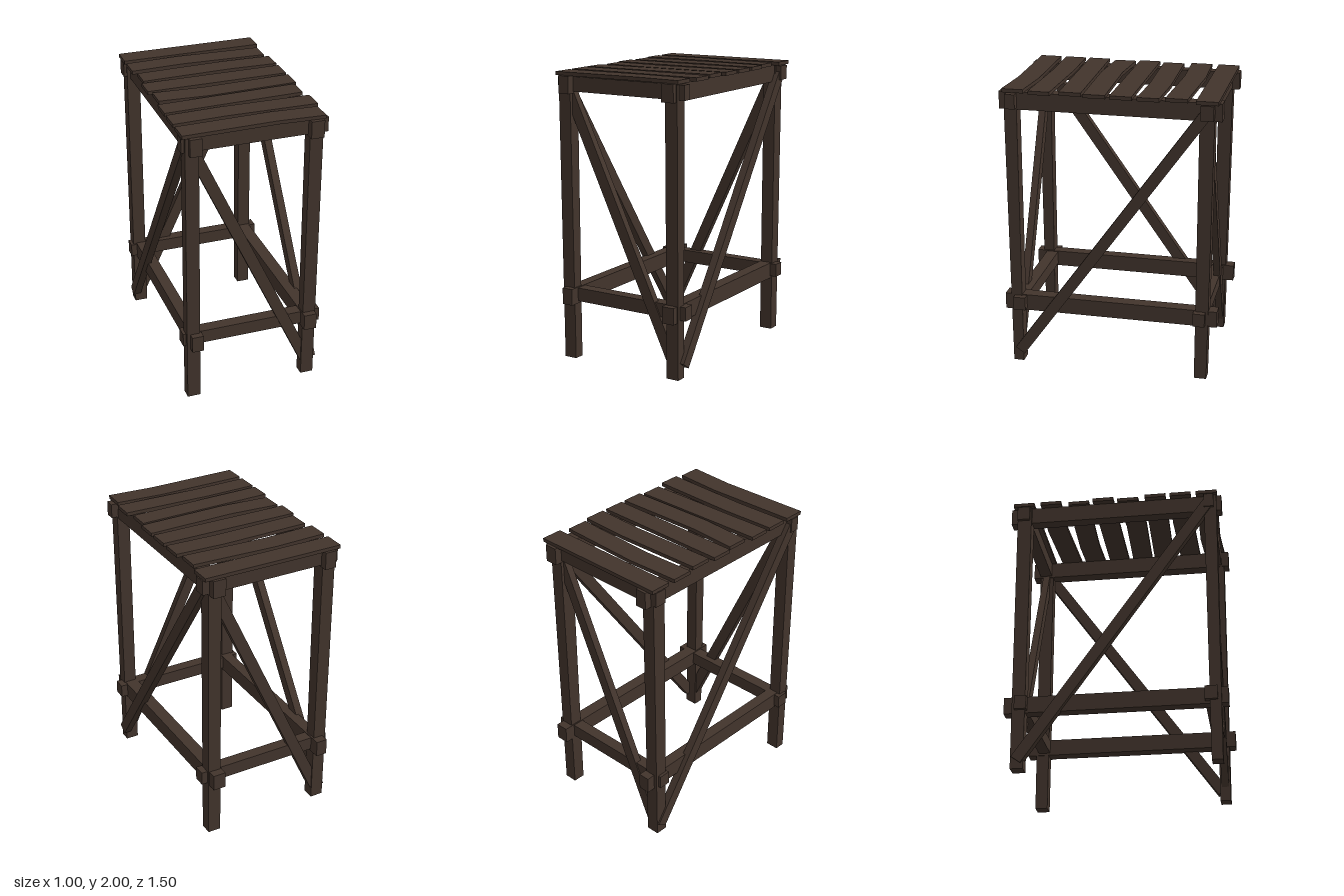
import * as THREE from 'three';

export function createModel() {
  const group = new THREE.Group();
  const wood = new THREE.MeshStandardMaterial({ color: 0x42342c });
  wood.name = 'dark wood';

  const add = (name, geometry) => {
    const mesh = new THREE.Mesh(geometry, wood);
    mesh.name = name;
    group.add(mesh);
    return mesh;
  };

  // Box given by its limits on each axis
  const block = (name, [x0, x1], [y0, y1], [z0, z1]) => {
    const g = new THREE.BoxGeometry(x1 - x0, y1 - y0, z1 - z0);
    g.translate((x0 + x1) / 2, (y0 + y1) / 2, (z0 + z1) / 2);
    return add(name, g);
  };

  // Legs: the outer faces lean out slightly towards the top
  const leg = (name, xs, zs) => {
    const g = block(name, xs, [0, 1.97], zs).geometry;
    const p = g.attributes.position;
    const outer = zs[0] > 0 ? zs[1] : zs[0];
    for (let i = 0; i < p.count; i++) {
      if (p.getY(i) > 1 && Math.abs(p.getZ(i) - outer) < 0.001) {
        p.setZ(i, outer + Math.sign(outer) * 0.015);
      }
    }
    g.computeVertexNormals();
  };
  leg('frontLeftLeg', [0.362, 0.453], [0.628, 0.701]);
  leg('frontRightLeg', [-0.48, -0.388], [0.628, 0.701]);
  leg('backLeftLeg', [0.362, 0.453], [-0.687, -0.602]);
  leg('backRightLeg', [-0.48, -0.388], [-0.687, -0.602]);

  // Cross rails, front and back
  block('frontTopRail', [-0.5, 0.495], [1.87, 1.97], [0.628, 0.696]);
  block('backTopRail', [-0.5, 0.495], [1.87, 1.97], [-0.7, -0.613]);
  block('frontLowRail', [-0.5, 0.495], [0.413, 0.507], [0.595, 0.68]);
  block('backLowRail', [-0.5, 0.495], [0.413, 0.507], [-0.672, -0.59]);

  // Long rails on both sides
  for (const [side, xs] of [['left', [0.356, 0.446]], ['right', [-0.457, -0.377]]]) {
    block(side + 'TopRail', xs, [1.857, 1.977], [-0.75, 0.75]);
    block(side + 'LowRail', xs, [0.397, 0.512], [-0.75, 0.75]);
  }

  // Diagonal braces: a and b are [along, y] ends in the plane of the side
  const brace = (name, a, b, depth, middle, onSide) => {
    const du = b[0] - a[0], dy = b[1] - a[1];
    const g = new THREE.BoxGeometry(Math.hypot(du, dy), 0.078, depth);
    g.rotateZ(Math.atan2(dy, du));
    g.translate((a[0] + b[0]) / 2, (a[1] + b[1]) / 2, 0);
    if (onSide) g.rotateY(-Math.PI / 2); // x becomes z
    g.translate(onSide ? middle : 0, 0, onSide ? 0 : middle);
    add(name, g);
  };
  brace('frontBrace', [-0.43, 1.886], [0.41, 0.09], 0.05, 0.665, false);
  brace('backBrace', [0.41, 1.886], [-0.43, 0.07], 0.05, -0.655, false);
  brace('leftBrace', [0.645, 0.09], [-0.655, 1.92], 0.055, 0.453, true);
  brace('rightBrace', [0.655, 1.91], [-0.65, 0.06], 0.055, -0.464, true);

  // Seat slats: x ends, back edge z at each end, optional bend [x, z]
  const slats = [
    [-0.5, 0.492, -0.73, -0.73],
    [-0.5, 0.465, -0.535, -0.525, [-0.13, -0.55]],
    [-0.477, 0.487, -0.338, -0.342, [0.14, -0.355]],
    [-0.5, 0.487, -0.16, -0.16],
    [-0.477, 0.487, 0.014, 0.016, [-0.13, 0.036]],
    [-0.5, 0.465, 0.212, 0.184],
    [-0.5, 0.487, 0.39, 0.39, [-0.13, 0.378]],
    [-0.5, 0.465, 0.574, 0.578, [0.14, 0.558]],
  ];
  slats.forEach(([x0, x1, z0, z1, bend], i) => {
    const edge = bend ? [[x0, z0], bend, [x1, z1]] : [[x0, z0], [x1, z1]];
    const far = edge.map(([x, z]) => [x, z + 0.148]).reverse();
    const shape = new THREE.Shape([...edge, ...far].map(([x, z]) => new THREE.Vector2(x, -z)));
    const g = new THREE.ExtrudeGeometry(shape, { depth: 0.025, bevelEnabled: false });
    g.rotateX(-Math.PI / 2);
    g.translate(0, 1.975, 0);
    add('seatSlat' + (i + 1), g);
  });

  return group;
}
